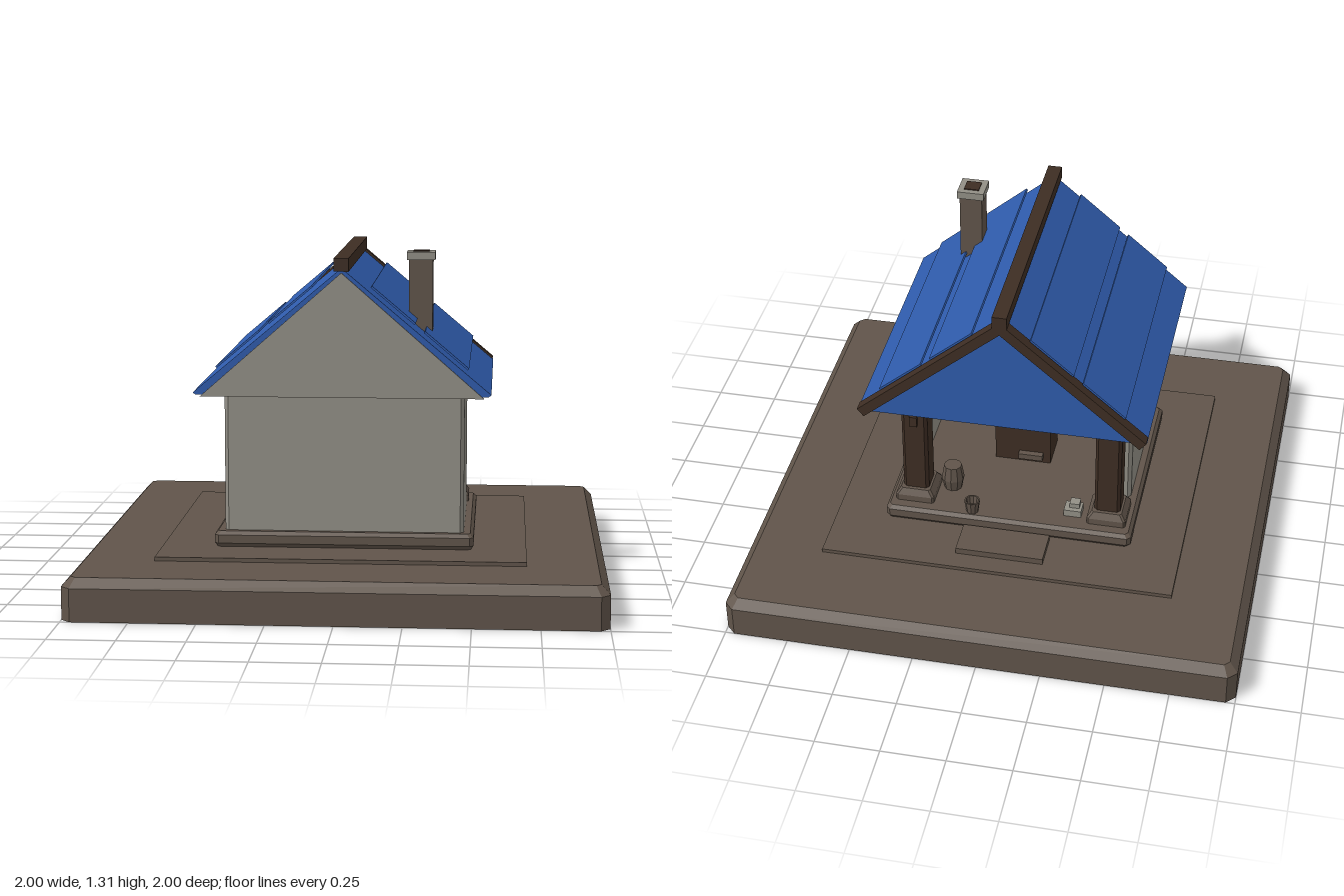
import * as THREE from 'three';

const mat = (name, color) => {
  const m = new THREE.MeshStandardMaterial({ color });
  m.name = name;
  return m;
};

// Flat-faced solid through octagonal rings: [halfX, halfZ, cornerCut, y]
function loft(rings) {
  const loops = rings.map(([w, d, c, y]) => [
    [w, d - c], [w, c - d], [w - c, -d], [c - w, -d],
    [-w, c - d], [-w, d - c], [c - w, d], [w - c, d],
  ].map(([x, z]) => [x, y, z]));
  const pos = [];
  const tri = (...pts) => pts.forEach((p) => pos.push(...p));
  for (let r = 0; r + 1 < loops.length; r++) {
    for (let i = 0; i < 8; i++) {
      const j = (i + 1) % 8, lo = loops[r], hi = loops[r + 1];
      tri(lo[i], lo[j], hi[j]);
      tri(lo[i], hi[j], hi[i]);
    }
  }
  const top = loops[loops.length - 1], bottom = loops[0];
  for (let i = 1; i < 7; i++) {
    tri(top[0], top[i], top[i + 1]);
    tri(bottom[0], bottom[i + 1], bottom[i]);
  }
  const g = new THREE.BufferGeometry();
  g.setAttribute('position', new THREE.Float32BufferAttribute(pos, 3));
  g.computeVertexNormals();
  return g;
}

function extrude(points, depth) {
  const shape = new THREE.Shape(points.map(([x, y]) => new THREE.Vector2(x, y)));
  return new THREE.ExtrudeGeometry(shape, { depth, bevelEnabled: false });
}

export function createModel() {
  const model = new THREE.Group();
  model.name = 'openWorkshop';
  const earth = mat('earthBrown', 0x60544a);
  const plaster = mat('plasterGrey', 0x928f86);
  const timber = mat('darkTimber', 0x3d2d23);
  const blue = mat('roofBlue', 0x2f5bab);

  const add = (name, geo, material, x = 0, y = 0, z = 0) => {
    const m = new THREE.Mesh(geo, material);
    m.name = name;
    m.position.set(x, y, z);
    model.add(m);
    return m;
  };
  // Box given by its centre in x and z and its bottom and top in y
  const box = (name, material, w, d, y0, y1, x, z) =>
    add(name, new THREE.BoxGeometry(w, y1 - y0, d), material, x, (y0 + y1) / 2, z);

  // Ground, yard, doorstep and foundation
  add('groundSlab', loft([[1, 1, 0.035, 0], [1, 1, 0.035, 0.125], [0.967, 0.967, 0.02, 0.16]]), earth);
  box('yard', earth, 1.4, 1.315, 0.155, 0.175, 0, 0.018);
  box('doorstep', earth, 0.35, 0.15, 0.17, 0.2, 0, -0.485);
  add('foundation', loft([
    [0.485, 0.425, 0.012, 0.17], [0.498, 0.44, 0.015, 0.19],
    [0.498, 0.44, 0.015, 0.222], [0.485, 0.427, 0.012, 0.236],
  ]), earth, 0, 0, 0.04);

  // Three walls, open at the back, with clipped corners
  const t = 0.05, c = 0.014;
  const half = [[0.46 - c, -0.445], [0.46, -0.445 + c], [0.46, 0.155 - c], [0.46 - c, 0.155],
    [0.46 - t + c, 0.155], [0.46 - t, 0.155 - c], [0.46 - t, -0.445 + t]];
  const plan = [...half, ...half.map(([x, y]) => [-x, y]).reverse()];
  add('walls', extrude(plan, 0.555).rotateX(-Math.PI / 2), plaster, 0, 0.233, 0);

  // Roof prism with plastered front gable
  const roofTop = 1.262, slope = 0.845, angle = Math.atan(slope);
  add('roof', extrude([[-0.552, 0.782], [0.552, 0.782], [0.562, 0.79], [0, roofTop], [-0.562, 0.79]], 1.075), blue, 0, 0, -0.495);
  add('frontGable', extrude([[-0.535, 0.776], [0.535, 0.776], [0, 1.245]], 0.009), plaster, 0, 0, 0.579);
  box('ridgeBeam', timber, 0.056, 1.105, 1.25, 1.3, 0, 0.037);

  for (const s of [-1, 1]) {
    // Raised roof sheets
    for (const x of [0.193, 0.393]) {
      const sheet = add('roofSheet', new THREE.BoxGeometry(0.215, 0.008, 1.05), blue,
        s * x, roofTop - slope * x + 0.024, 0.04);
      sheet.rotation.z = -s * angle;
    }
    // Barge boards on the open gable
    const barge = add('bargeBoard', new THREE.BoxGeometry(0.725, 0.04, 0.046), timber, s * 0.272, 1.018, -0.492);
    barge.rotation.z = -s * angle;

    // Porch posts on tapered footings, braced to the wall
    const x = s * 0.39;
    add('postFooting', loft([
      [0.078, 0.08, 0.008, 0.232], [0.078, 0.08, 0.008, 0.262], [0.06, 0.065, 0.008, 0.288],
    ]), earth, x, 0, -0.27);
    add('porchPost', loft([[0.052, 0.053, 0.012, 0.27], [0.052, 0.053, 0.012, 0.79]]), timber, x, 0, -0.268);
    const brace = add('postBrace', new THREE.BoxGeometry(0.04, 0.025, 0.09), timber, x, 0.775, -0.185);
    brace.rotation.x = -0.45;
  }
  box('postPeg', timber, 0.03, 0.02, 0.605, 0.65, 0.39, -0.327);

  // Chimney
  box('chimneyStack', earth, 0.09, 0.09, 1.0, 1.285, 0.29, 0.355);
  box('chimneyCap', plaster, 0.108, 0.108, 1.28, 1.31, 0.29, 0.355);
  box('chimneyOpening', timber, 0.06, 0.06, 1.306, 1.314, 0.29, 0.355);

  // Work bench with a slab top and front ledge
  box('benchBody', timber, 0.23, 0.16, 0.234, 0.4, 0.015, 0.08);
  box('benchTop', plaster, 0.25, 0.18, 0.4, 0.42, 0.015, 0.08);
  box('benchLedge', earth, 0.1, 0.03, 0.26, 0.285, -0.02, -0.01);

  // Barrel, bucket and loose stones on the porch
  const barrel = [[0, 0], [0.036, 0], [0.046, 0.05], [0.036, 0.11], [0, 0.11]];
  const bucket = [[0, 0], [0.024, 0], [0.032, 0.055], [0.026, 0.055], [0.02, 0.02], [0, 0.02]];
  const flatLathe = (pts) => {
    const g = new THREE.LatheGeometry(pts.map(([x, y]) => new THREE.Vector2(x, y)), 10).toNonIndexed();
    g.computeVertexNormals();
    return g;
  };
  add('barrel', flatLathe(barrel), earth, 0.26, 0.235, -0.22);
  add('bucket', flatLathe(bucket), earth, 0.15, 0.235, -0.36);
  box('stone', plaster, 0.07, 0.06, 0.234, 0.265, -0.25, -0.29);
  box('stone', plaster, 0.04, 0.04, 0.265, 0.285, -0.255, -0.28);

  return model;
}
